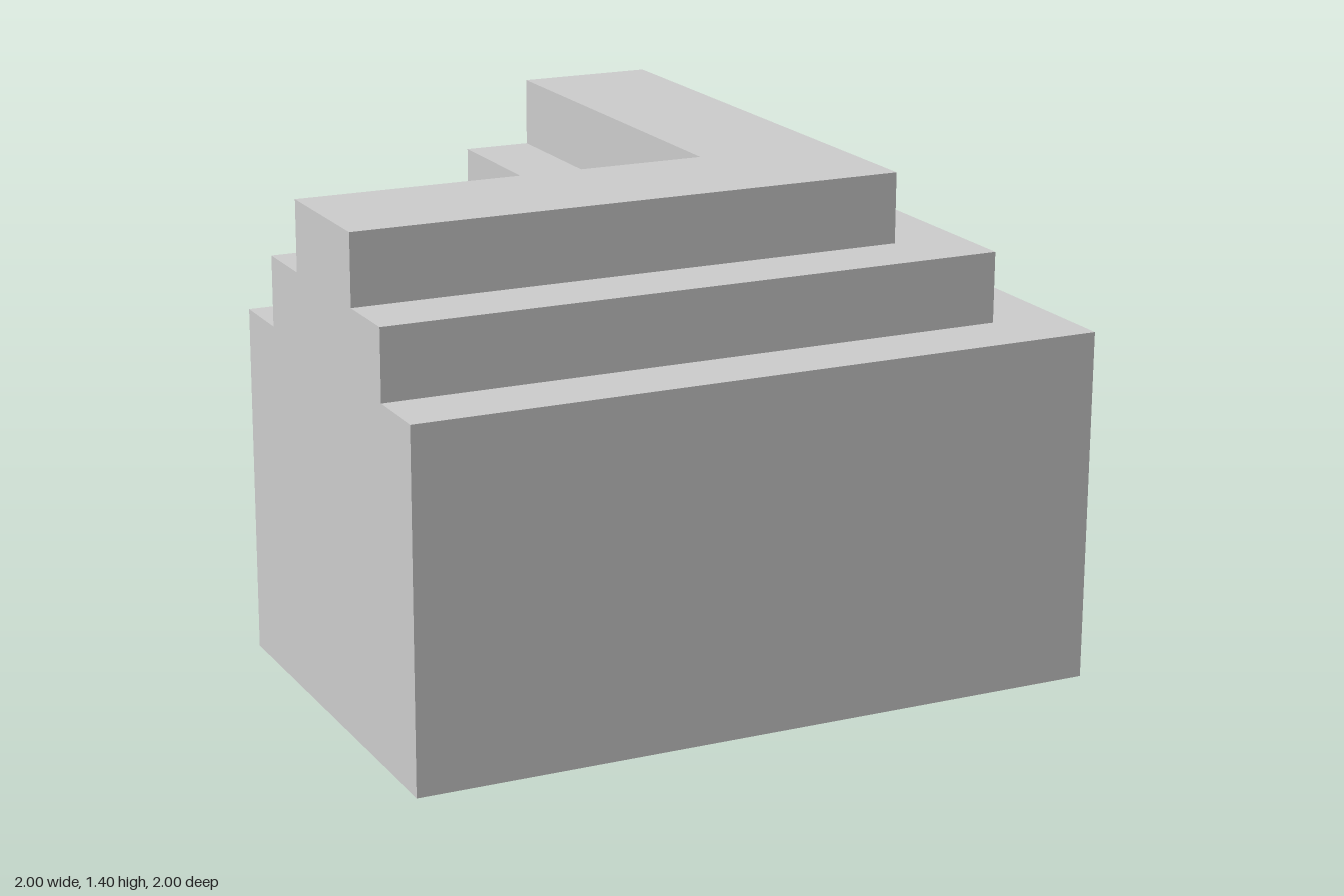
import * as THREE from 'three';

// Stepped cross-section, counter-clockwise: [offset from the inner corner, height]
const PROFILE = [
  [-0.2, 0], [1, 0], [1, 1], [0.8, 1], [0.8, 1.2], [0.6, 1.2],
  [0.6, 1.4], [0.2, 1.4], [0.2, 1.2], [0, 1.2], [0, 1], [-0.2, 1],
].map(([d, y]) => new THREE.Vector2(d, y));

// Sweep the profile along an L with a mitred corner, closed at both ends
function steppedCorner() {
  const sections = [
    PROFILE.map((p) => [-1, p.y, p.x]),  // end of the left-hand arm
    PROFILE.map((p) => [p.x, p.y, p.x]), // mitre
    PROFILE.map((p) => [p.x, p.y, -1]),  // end of the rear arm
  ];
  const positions = [];
  const tri = (a, b, c) => positions.push(...a, ...b, ...c);

  // Walls, treads and underside
  for (let s = 0; s < 2; s++) {
    const A = sections[s], B = sections[s + 1];
    for (let i = 0; i < A.length; i++) {
      const j = (i + 1) % A.length;
      tri(A[i], B[i], B[j]);
      tri(A[i], B[j], A[j]);
    }
  }

  // End faces
  for (const [a, b, c] of THREE.ShapeUtils.triangulateShape(PROFILE, [])) {
    tri(sections[0][a], sections[0][b], sections[0][c]);
    tri(sections[2][a], sections[2][c], sections[2][b]);
  }

  const geometry = new THREE.BufferGeometry();
  geometry.setAttribute('position', new THREE.Float32BufferAttribute(positions, 3));
  geometry.computeVertexNormals();
  return geometry;
}

export function createModel() {
  const group = new THREE.Group();
  group.name = 'steppedCornerWall';
  const material = new THREE.MeshStandardMaterial({ color: 0xcccccc, flatShading: true });
  const wall = new THREE.Mesh(steppedCorner(), material);
  wall.name = 'cornerWall';
  group.add(wall);
  return group;
}
